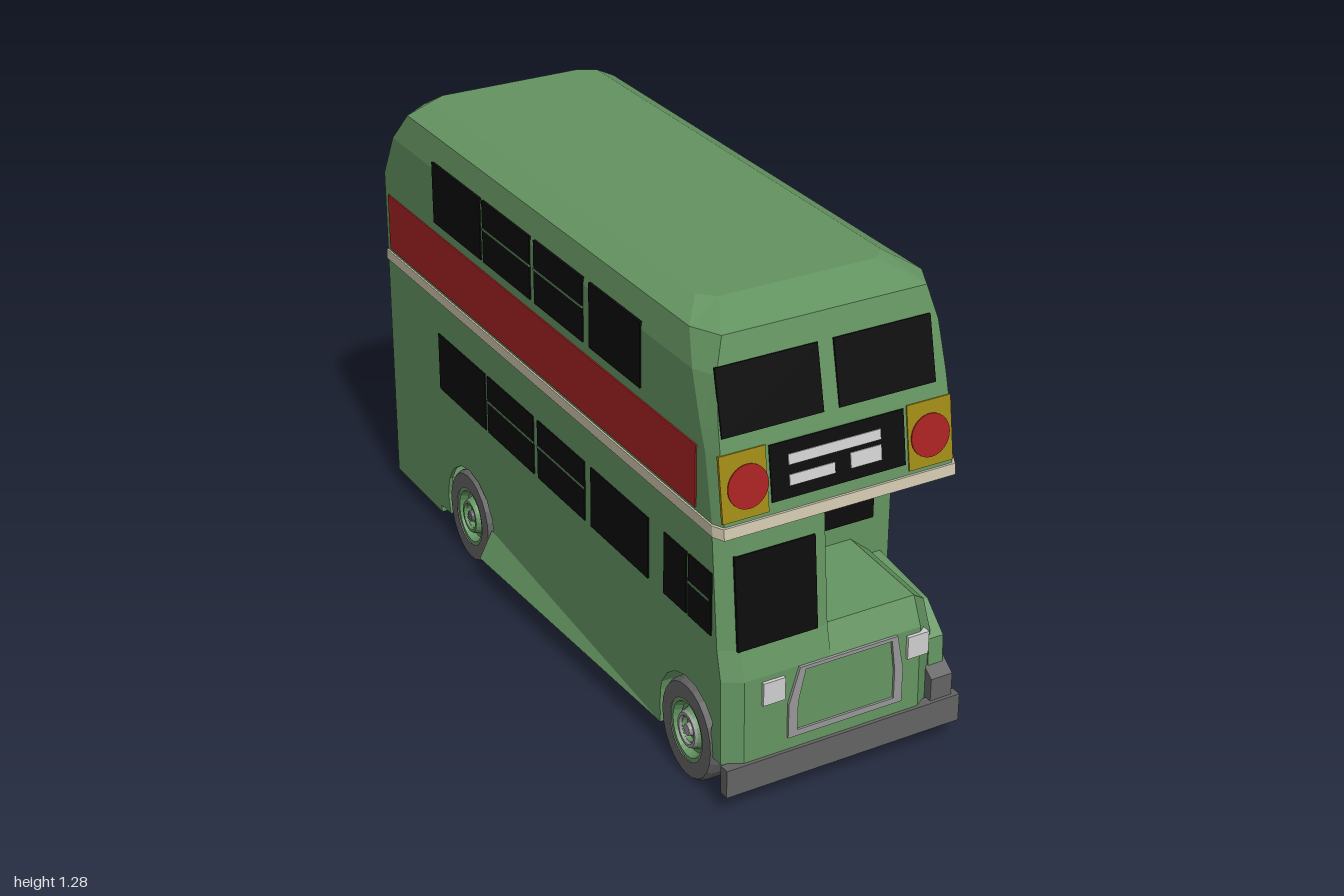
import * as THREE from 'three';

const mat = (name, color) => new THREE.MeshStandardMaterial({ name, color, flatShading: true, side: THREE.DoubleSide });

export function createModel() {
  const green = mat('body green', 0x659562), black = mat('glass black', 0x0c0c0c), grey = mat('dark grey', 0x646464);
  const silver = mat('silver', 0x989898), white = mat('white', 0xd0d0d0), cream = mat('cream', 0xd0c6b0);
  const yellow = mat('mustard', 0xa08a14), red = mat('red', 0xa82222), gold = mat('gold', 0xb8a04c), blue = mat('blue', 0x4848a0);
  const bus = new THREE.Group();
  bus.name = 'doubleDeckBus';
  const XL = -0.33, XR = 0.36, CX = 0.015;

  const add = (name, geo, material, x = 0, y = 0, z = 0, parent = bus) => {
    const m = new THREE.Mesh(geo, material);
    m.name = name;
    m.position.set(x, y, z);
    parent.add(m);
    return m;
  };
  // box given by its extents
  const box = (name, m, x0, x1, y0, y1, z0, z1) =>
    add(name, new THREE.BoxGeometry(x1 - x0, y1 - y0, Math.abs(z1 - z0)), m, (x0 + x1) / 2, (y0 + y1) / 2, (z0 + z1) / 2);
  // thin plate on the front or back, centred at z and tilted with the panel
  const plate = (name, m, x0, x1, y0, y1, z, tilt = 0, t = 0.008) => {
    const p = add(name, new THREE.BoxGeometry(x1 - x0, (y1 - y0) / Math.cos(tilt), t), m, (x0 + x1) / 2, (y0 + y1) / 2, z);
    p.rotation.x = tilt;
    return p;
  };
  // thin plate on a side wall
  const sidePlate = (name, m, x, z0, z1, y0, y1, t = 0.008) => box(name, m, x - t / 2, x + t / 2, y0, y1, z0, z1);
  // (z, y) outline extruded from x0 to x1
  const profile = (name, m, pts, x0, x1) => {
    const s = new THREE.Shape(pts.map(p => new THREE.Vector2(p[0], p[1])));
    const g = new THREE.ExtrudeGeometry(s, { depth: x1 - x0, bevelEnabled: false });
    g.rotateY(-Math.PI / 2).translate(x1, 0, 0);
    return add(name, g, m);
  };
  const arc = (cz, cy, r, a0, a1, n = 10) => Array.from({ length: n + 1 }, (_, i) => {
    const a = a0 + (a1 - a0) * i / n;
    return [cz + r * Math.cos(a), cy + r * Math.sin(a)];
  });
  // skin over rings of [x, y, z]; drop = axis left out when filling the ends
  const loft = (rings, drop) => {
    const n = rings[0].length, keep = [0, 1, 2].filter(k => k !== drop), tris = [];
    for (let i = 0; i + 1 < rings.length; i++) for (let j = 0; j < n; j++) {
      const a = rings[i][j], b = rings[i][(j + 1) % n], c = rings[i + 1][(j + 1) % n], d = rings[i + 1][j];
      tris.push([a, b, c], [a, c, d]);
    }
    const cap = (ring, sign) => {
      const flat = ring.map(p => new THREE.Vector2(p[keep[0]], p[keep[1]]));
      const turn = Math.sign(THREE.ShapeUtils.area(flat));
      for (const f of THREE.ShapeUtils.triangulateShape(flat, [])) {
        const [a, b, c] = f.map(k => flat[k]);
        const same = Math.sign((b.x - a.x) * (c.y - a.y) - (b.y - a.y) * (c.x - a.x)) === turn;
        const t = f.map(k => ring[k]);
        tris.push((same ? 1 : -1) * sign > 0 ? t : t.reverse());
      }
    };
    cap(rings[0], -1);
    cap(rings[rings.length - 1], 1);
    const V = p => new THREE.Vector3(...p);
    const volume = tris.reduce((s, t) => s + V(t[0]).dot(V(t[1]).cross(V(t[2]))), 0);
    if (volume < 0) tris.forEach(t => t.reverse());
    const g = new THREE.BufferGeometry();
    g.setAttribute('position', new THREE.Float32BufferAttribute(tris.flat(2), 3));
    g.computeVertexNormals();
    return g;
  };
  // plan of the body at one height, with cut corners
  const plan = ([y, zf, zr, hw, fx, fz, rx, rz]) => [
    [hw - fx, zf], [hw, zf - fz], [hw, zr + rz], [hw - rx, zr],
    [rx - hw, zr], [-hw, zr + rz], [-hw, zf - fz], [fx - hw, zf]].map(([x, z]) => [CX + x, y, z]);

  // upper deck and roof
  add('upperDeck', loft([
    [0.76, 0.94, -0.985, 0.345, 0.015, 0.03, 0.07, 0.04],
    [0.97, 0.908, -0.985, 0.345, 0.018, 0.04, 0.07, 0.04],
    [1.03, 0.8945, -0.985, 0.345, 0.02, 0.05, 0.07, 0.04],
    [1.16, 0.865, -0.925, 0.345, 0.03, 0.06, 0.08, 0.05],
    [1.25, 0.845, -0.86, 0.33, 0.04, 0.08, 0.08, 0.06],
    [1.285, 0.72, -0.81, 0.265, 0.04, 0.04, 0.05, 0.03]].map(plan), 1), green);
  add('creamBand', loft([[0.76, 0.946, -0.945, 0.35, 0.015, 0.03, 0, 0], [0.79, 0.942, -0.945, 0.35, 0.015, 0.03, 0, 0]].map(plan), 1), cream);

  // lower walls with rear wheel arches
  const rearArch = arc(-0.44, 0.14, 0.15, -0.41, Math.PI + 0.41);
  profile('rightHandWall', green, [[0.66, 0.76], [0.66, 0.08], ...rearArch, [-0.945, 0.06], [-0.945, 0.76]], XL, XL + 0.01);
  profile('leftHandWall', green, [[0.66, 0.76], [0.66, 0.08], ...rearArch, [-0.65, 0.08], [-0.65, 0.76]], XR - 0.01, XR);
  const flare = new THREE.BufferGeometry();
  flare.setAttribute('position', new THREE.Float32BufferAttribute([XL, 0.08, 0.65, XL, 0.16, -0.305, -0.37, 0.08, -0.305], 3));
  flare.computeVertexNormals();
  add('flaredSkirt', flare, green);
  box('frontBulkhead', green, XL, XR, 0.08, 0.76, 0.645, 0.66);
  box('rearBulkhead', grey, XL + 0.01, XR - 0.01, 0.2, 0.76, -0.65, -0.64);

  // rear panel with cut corners
  const rear = new THREE.Shape([[XL, 0.945], [-0.26, 0.985], [0.29, 0.985], [XR, 0.95], [XR, 0.94], [0.285, 0.97],
    [-0.255, 0.97], [-0.32, 0.94]].map(p => new THREE.Vector2(...p)));
  add('rearPanel', new THREE.ExtrudeGeometry(rear, { depth: 0.7, bevelEnabled: false }).rotateX(-Math.PI / 2), green, 0, 0.06, 0);

  // boarding platform and pole
  profile('platformStep', grey, [[-0.6, 0.2], [-0.66, 0.055], [-0.985, 0.055], [-0.988, 0.16]], 0.22, XR);
  box('platformFloor', green, XL, 0.22, 0.055, 0.16, -0.945, -0.64);
  add('platformPole', new THREE.CylinderGeometry(0.008, 0.008, 0.59, 8), white, 0.35, 0.465, -0.795);

  // half-width cab, nose and bonnet
  const cab = [[0.655, 0.76], [0.935, 0.76], [0.965, 0.45], [0.985, 0.37], [0.99, 0.13], [0.945, 0.13],
    ...arc(0.8, 0.15, 0.145, -0.1, Math.PI + 0.3), [0.655, 0.08]];
  add('cab', loft([[XL, 0.03], [-0.28, 0], [-0.03, 0]].map(([x, d]) =>
    cab.map(([z, y]) => [x, y, z > 0.93 && z - d > 0.9 ? z - d : z])), 0), green);
  const bonnet = [[0.65, 0.46], [0.95, 0.445], [0.985, 0.37], [0.99, 0.13], [0.65, 0.13]];
  add('bonnet', loft([[-0.03, 0, 0], [0.24, 0, 0], [0.3, 0.04, 0.05]].map(([x, dz, dy]) =>
    bonnet.map(([z, y]) => [x, y > 0.3 ? y - dy : y, z > 0.9 ? z - dz : z])), 0), green);
  profile('frontWing', green, [[0.65, 0.4], [0.88, 0.37], [0.955, 0.3], [0.96, 0.2],
    ...arc(0.8, 0.15, 0.145, 0.3, Math.PI - 0.1), [0.65, 0.15]], 0.29, 0.335);
  profile('wingLip', grey, [[0.92, 0.25], [0.99, 0.2], [0.99, 0.13], [0.935, 0.13]], 0.28, 0.345);
  box('frontBumper', grey, -0.335, 0.365, 0.055, 0.135, 0.97, 1.0);

  // grille frame and headlamps
  const grille = new THREE.Shape([[-0.155, 0.17], [0.185, 0.17], [0.185, 0.27], [0.165, 0.37], [-0.125, 0.37], [-0.155, 0.27]]
    .map(p => new THREE.Vector2(...p)));
  grille.holes.push(new THREE.Path([[-0.128, 0.187], [-0.128, 0.27], [-0.108, 0.36], [0.148, 0.36], [0.16, 0.27], [0.16, 0.187]]
    .map(p => new THREE.Vector2(...p))));
  add('grilleFrame', new THREE.ExtrudeGeometry(grille, { depth: 0.008, bevelEnabled: false }), silver, 0, 0, 0.987);
  for (const x of [-0.23, 0.198]) box('headlamp', white, x, x + 0.063, 0.29, 0.355, 0.97, 0.995);

  // front glazing and sign
  plate('upperWindscreen', black, -0.305, -0.02, 1.01, 1.18, 0.881, -0.22);
  plate('upperWindscreen', black, 0.025, 0.305, 1.01, 1.18, 0.881, -0.22);
  plate('cabWindscreen', black, -0.29, -0.06, 0.45, 0.705, 0.953, -0.097);
  plate('bulkheadWindow', black, 0.025, 0.305, 0.51, 0.685, 0.661);
  const T = -0.151, frontZ = y => 0.94 - (y - 0.76) * 0.152;
  plate('frontSign', black, -0.18, 0.205, 0.82, 0.965, frontZ(0.8925), T);
  for (const [x0, x1, y0, y1] of [[-0.13, 0.135, 0.905, 0.932], [-0.13, 0, 0.852, 0.88], [0.045, 0.135, 0.852, 0.892]])
    plate('signBar', white, x0, x1, y0, y1, frontZ((y0 + y1) / 2) + 0.003, T);
  for (const x of [-0.255, 0.28]) {
    plate('frontSquare', yellow, x - 0.065, x + 0.065, 0.8, 0.97, frontZ(0.885), T);
    const disc = add('frontDisc', new THREE.CylinderGeometry(0.057, 0.057, 0.008, 32), red, x + (x < 0 ? 0.01 : 0), 0.88, frontZ(0.88) + 0.003);
    disc.rotation.x = Math.PI / 2 + T;
  }

  // side windows, both sides, the inner pairs with a sliding-pane bar
  for (const [x, s] of [[XL, -1], [XR, 1]]) {
    for (const [y0, y1, bar, first] of [[1.0, 1.18, 1.098, 0.56], [0.48, 0.655, 0.577, 0.6]]) {
      [[first, 0.3], [0.265, 0], [-0.025, -0.3], [-0.315, -0.61]].forEach(([z0, z1], i) => {
        sidePlate('sideWindow', black, x, z0, z1, y0, y1);
        if (i === 1 || i === 2) sidePlate('windowBar', green, x + s * 0.002, z0, z1, bar - 0.003, bar + 0.003);
      });
    }
  }
  for (const [x, s] of [[XL, -1], [-0.03, 1]]) {
    sidePlate('cabSideWindow', black, x, 0.91, 0.8, 0.48, 0.655);
    sidePlate('cabSideWindow', black, x, 0.79, 0.68, 0.48, 0.655);
    sidePlate('windowBar', green, x + s * 0.002, 0.8, 0.9, 0.574, 0.58);
  }

  // side panels and side sign
  sidePlate('whitePanel', white, XR, 0.85, -0.625, 0.8, 0.97);
  sidePlate('redPanel', red, XL, 0.83, -0.92, 0.8, 0.97);
  for (const z of [-0.203, -0.348, -0.498])
    add('goldDisc', new THREE.CylinderGeometry(0.058, 0.058, 0.008, 32).rotateZ(Math.PI / 2), gold, XR + 0.002, 0.88, z);
  sidePlate('sideSign', black, XR, -0.67, -0.9, 0.82, 0.953);
  for (const [z0, z1, y0, y1] of [[-0.7, -0.86, 0.905, 0.925], [-0.69, -0.77, 0.855, 0.885], [-0.79, -0.86, 0.855, 0.885]])
    sidePlate('signBar', white, XR + 0.002, z0, z1, y0, y1);

  // back details
  plate('rearUpperWindow', black, -0.165, 0.18, 1.07, 1.165, -0.945, 0.432);
  plate('rearLowerWindow', black, -0.155, 0.205, 0.48, 0.66, -0.986);
  plate('rearSign', black, -0.11, 0.17, 0.825, 0.97, -0.986);
  for (const [x0, x1, y0, y1] of [[-0.07, 0.13, 0.91, 0.93], [0.05, 0.13, 0.86, 0.885], [-0.07, 0.02, 0.86, 0.885]])
    plate('signBar', white, x0, x1, y0, y1, -0.988);
  plate('rearPatch', white, 0.185, 0.31, 0.825, 1.0, -0.987);
  plate('rearPatch', white, -0.275, -0.135, 0.825, 1.0, -0.987);
  plate('bluePanel', blue, -0.17, 0.215, 0.18, 0.34, -0.986);
  for (const x of [-0.1, -0.15]) plate('tailLamp', red, x - 0.016, x + 0.016, 0.12, 0.155, -0.987);

  // wheels: tyre, green rim and hub, plus axles
  const lathe = pts => new THREE.LatheGeometry(pts.map(p => new THREE.Vector2(...p)), 24);
  const tyre = lathe([[0.088, -0.037], [0.132, -0.037], [0.14, -0.025], [0.14, 0.025], [0.132, 0.037], [0.088, 0.037]]);
  const rim = lathe([[0.09, 0.034], [0.078, 0.034], [0.07, 0.012], [0.058, 0.012], [0.052, 0.03], [0.035, 0.03], [0.03, 0.018], [0, 0.018]]);
  for (const z of [0.8, -0.44]) {
    add('axle', new THREE.CylinderGeometry(0.085, 0.085, 0.6, 16).rotateZ(Math.PI / 2), grey, CX, 0.15, z);
    for (const [x, s] of [[-0.298, 1], [0.327, -1]]) {
      const wheel = new THREE.Group();
      wheel.name = z > 0 ? 'frontWheel' : 'rearWheel';
      wheel.position.set(x, 0.14, z);
      wheel.rotation.z = s * Math.PI / 2;
      wheel.scale.z = 0.91;
      bus.add(wheel);
      add('tyre', tyre, grey, 0, 0, 0, wheel);
      add('rim', rim, green, 0, 0, 0, wheel);
      add('hubRing', new THREE.TorusGeometry(0.044, 0.008, 6, 24).rotateX(Math.PI / 2), z > 0 ? silver : green, 0, 0.03, 0, wheel);
      add('hubCap', new THREE.CylinderGeometry(0.016, 0.02, 0.02, 12), z > 0 ? silver : grey, 0, 0.026, 0, wheel);
    }
  }
  return bus;
}
